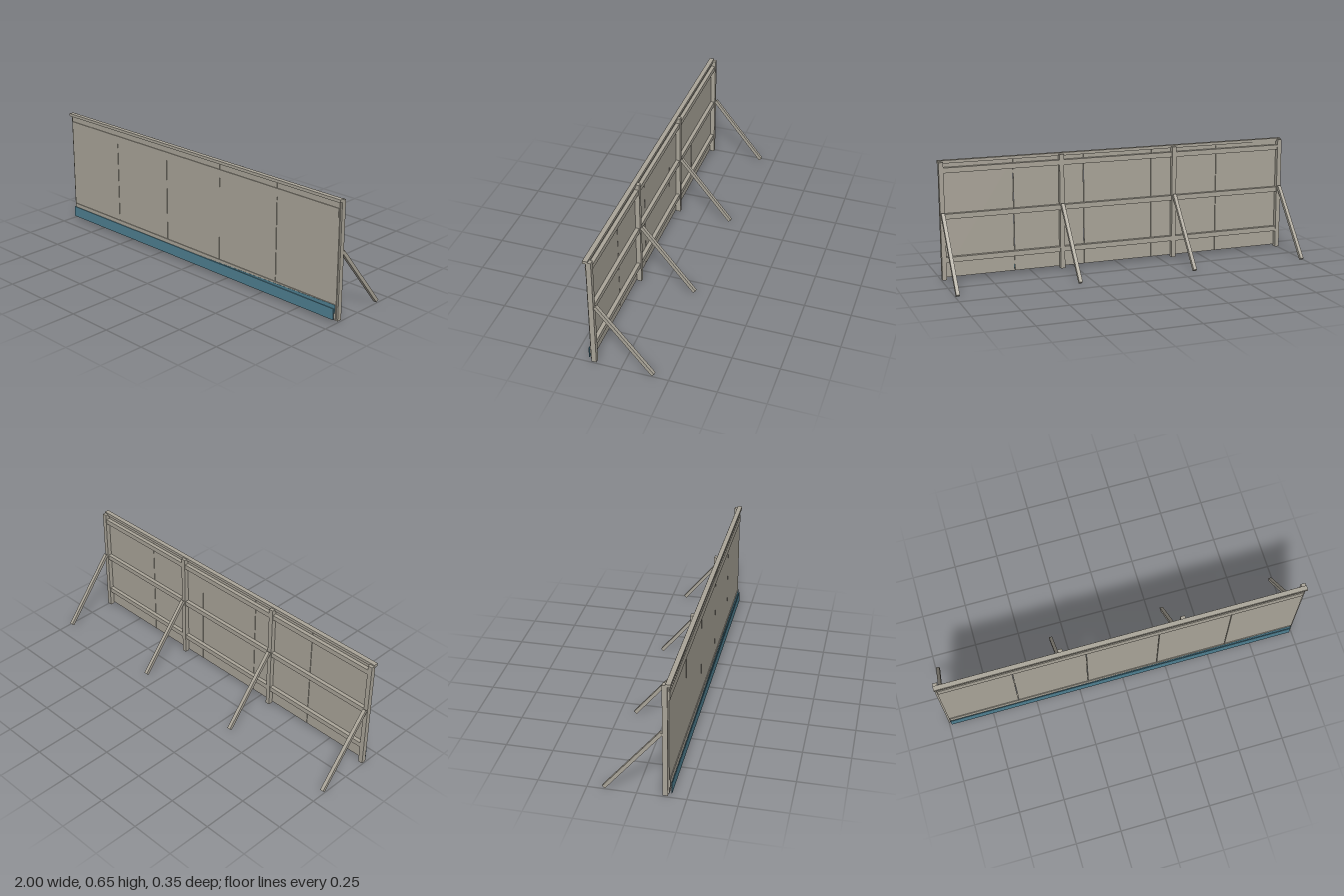
import * as THREE from 'three';

const grey = new THREE.MeshStandardMaterial({ color: 0xaaa599 });
const blue = new THREE.MeshStandardMaterial({ color: 0x4f8092 });

export function createModel() {
  const model = new THREE.Group();

  // Box given by its minimum and maximum on each axis
  const box = (name, [x0, x1], [y0, y1], [z0, z1], material = grey) => {
    const mesh = new THREE.Mesh(new THREE.BoxGeometry(x1 - x0, y1 - y0, z1 - z0), material);
    mesh.position.set((x0 + x1) / 2, (y0 + y1) / 2, (z0 + z1) / 2);
    mesh.name = name;
    model.add(mesh);
    return mesh;
  };

  // Five wall panels with narrow seams
  const pitch = 1.984 / 5;
  for (let i = 0; i < 5; i++) {
    const x = -0.992 + i * pitch;
    box('wallPanel', [x + 0.0015, x + pitch - 0.0015], [0.016, 0.635], [0.155, 0.162]);
  }

  // Horizontal rails on the back of the panels
  for (const y of [0.115, 0.35, 0.597]) {
    box('backRail', [-0.985, 0.985], [y - 0.014, y + 0.014], [0.134, 0.155]);
  }

  // Posts, each with a sloping brace down to the ground
  const top = new THREE.Vector2(0.126, 0.368);
  const foot = new THREE.Vector2(-0.167, 0.0065);
  const slope = foot.clone().sub(top);
  for (const x of [-0.987, -0.329, 0.329, 0.987]) {
    box('post', [x - 0.0125, x + 0.0125], [0.007, 0.641], [0.13, 0.156]);
    const brace = new THREE.Mesh(new THREE.BoxGeometry(0.019, 0.019, slope.length()), grey);
    brace.name = 'brace';
    brace.position.set(x, (top.y + foot.y) / 2, (top.x + foot.x) / 2);
    brace.rotation.x = Math.atan2(-slope.y, slope.x);
    model.add(brace);
  }

  // Cap along the top edge
  box('topCap', [-1, 1], [0.632, 0.648], [0.147, 0.172]);

  // Thin strips across the front, above and below
  box('upperStrip', [-0.987, 0.987], [0.554, 0.6], [0.162, 0.166]);
  box('lowerStrip', [-0.987, 0.987], [0.049, 0.095], [0.162, 0.166]);

  // Blue lower half of the bottom strip, split along its diagonal
  const wedge = new THREE.Shape([
    new THREE.Vector2(-0.987, 0.049),
    new THREE.Vector2(0.987, 0.049),
    new THREE.Vector2(0.987, 0.095),
  ]);
  const stripe = new THREE.Mesh(
    new THREE.ExtrudeGeometry(wedge, { depth: 0.001, bevelEnabled: false }), blue);
  stripe.name = 'lowerStripStripe';
  stripe.position.z = 0.166;
  model.add(stripe);

  // Blue kick board in front of the foot of the wall
  box('kickBoard', [-0.987, 0.984], [0.016, 0.076], [0.171, 0.175], blue);

  return model;
}
